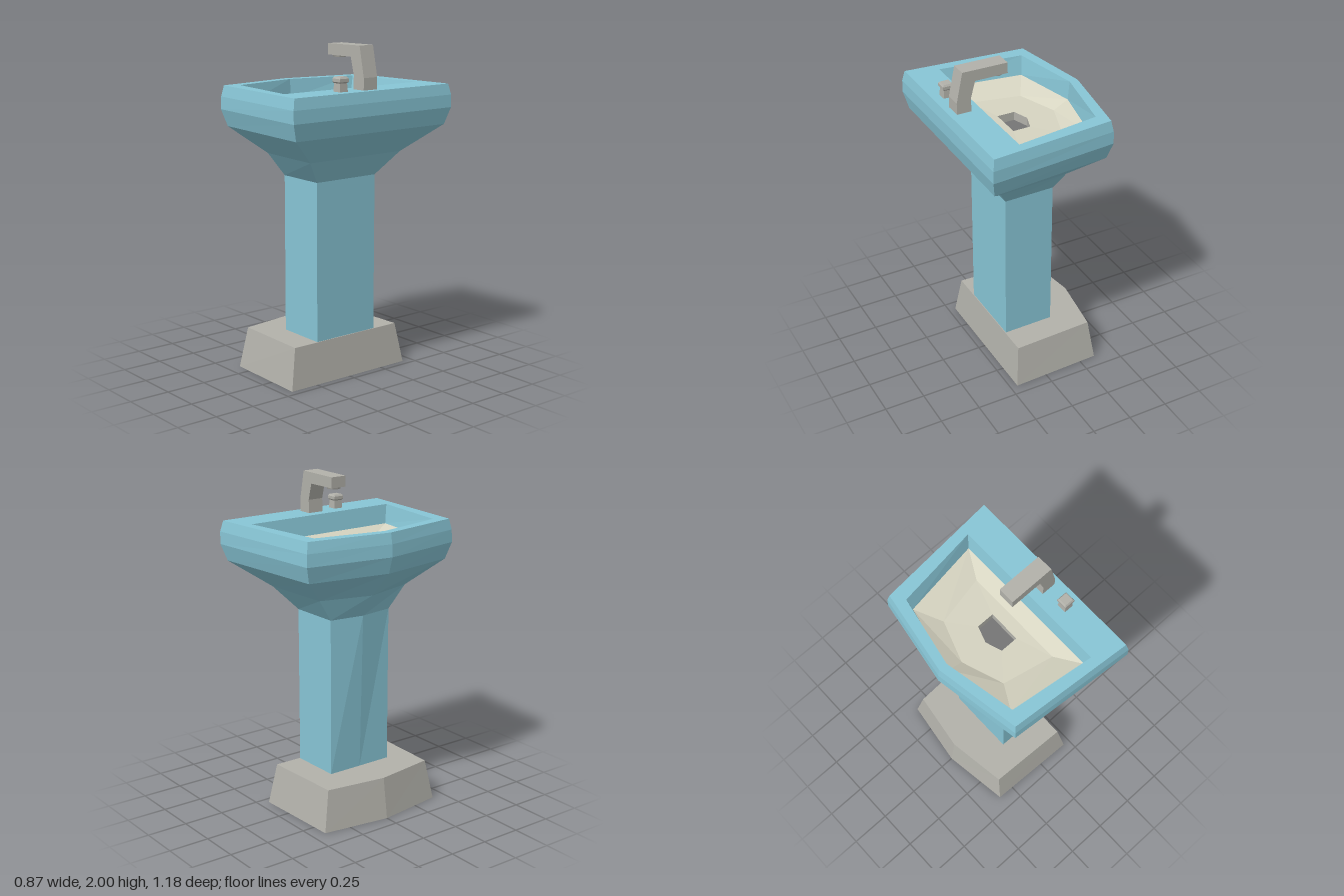
import * as THREE from 'three';

const mat = (name, color) => {
  const m = new THREE.MeshStandardMaterial({ color });
  m.name = name;
  m.flatShading = true;
  return m;
};

// Five-sided section: pointed at -x, flat at +x
const ring = (y, tip, shoulderX, shoulderZ, backX, backZ) => [
  [tip, y, 0], [shoulderX, y, shoulderZ], [backX, y, backZ],
  [backX, y, -backZ], [shoulderX, y, -shoulderZ],
];

// Skins consecutive sections with flat faces, optionally closing either end
function loft(rings, capStart = false, capEnd = false) {
  const pos = [];
  const tri = (a, b, c) => pos.push(...a, ...b, ...c);
  for (let r = 0; r < rings.length - 1; r++) {
    const lo = rings[r], hi = rings[r + 1], n = lo.length;
    for (let i = 0; i < n; i++) {
      const j = (i + 1) % n;
      tri(lo[i], lo[j], hi[j]);
      tri(lo[i], hi[j], hi[i]);
    }
  }
  const first = rings[0], last = rings[rings.length - 1];
  for (let i = 1; i < first.length - 1; i++) {
    if (capStart) tri(first[0], first[i + 1], first[i]);
    if (capEnd) tri(last[0], last[i], last[i + 1]);
  }
  const g = new THREE.BufferGeometry();
  g.setAttribute('position', new THREE.Float32BufferAttribute(pos, 3));
  g.computeVertexNormals();
  return g;
}

export function createModel() {
  const blue = mat('blue ceramic', 0x88c6d6);
  const cream = mat('cream bowl', 0xd6d4c1);
  const grey = mat('grey stone and metal', 0xb2b1aa);
  const dark = mat('dark drain', 0x757575);

  const model = new THREE.Group();
  const add = (name, geometry, material, x = 0, y = 0, z = 0) => {
    const m = new THREE.Mesh(geometry, material);
    m.name = name;
    m.position.set(x, y, z);
    model.add(m);
    return m;
  };

  // Tapered plinth
  add('base', loft([
    ring(0, -0.415, -0.355, 0.415, 0.205, 0.435),
    ring(0.25, -0.38, -0.325, 0.37, 0.175, 0.39),
  ], true, true), grey);

  // Pedestal column
  const neck = ring(1.21, -0.175, -0.145, 0.215, 0.17, 0.22);
  add('column', loft([ring(0.25, -0.146, -0.145, 0.215, 0.17, 0.22), neck]), blue);

  // Basin: flared underside, rounded rim, then the inner lip
  const lip = ring(1.635, -0.36, -0.27, 0.403, 0.21, 0.473);
  add('basin', loft([
    neck,
    ring(1.35, -0.26, -0.175, 0.315, 0.26, 0.34),
    ring(1.51, -0.41, -0.325, 0.495, 0.41, 0.555),
    ring(1.61, -0.438, -0.35, 0.525, 0.433, 0.588),
    ring(1.685, -0.435, -0.348, 0.523, 0.432, 0.588),
    ring(1.75, -0.423, -0.337, 0.51, 0.42, 0.573),
    ring(1.75, -0.37, -0.285, 0.43, 0.23, 0.497),
    lip,
  ]), blue);

  // Bowl lining
  const drainRim = ring(1.583, -0.09, -0.057, 0.098, 0.052, 0.098);
  add('bowl', loft([
    lip,
    ring(1.587, -0.267, -0.18, 0.248, 0.125, 0.313),
    drainRim,
  ]), cream);

  // Sunken drain
  const drainFloor = ring(1.53, -0.09, -0.057, 0.098, 0.052, 0.098);
  add('drainWall', loft([drainRim, drainFloor]), grey);
  add('drainFloor', loft([drainFloor], false, true), dark);

  // Bent tap, extruded across z
  const profile = new THREE.Shape([
    [0.29, 1.75], [0.38, 1.75], [0.38, 1.82], [0.342, 2.0], [0.062, 1.997],
    [0.062, 1.932], [0.265, 1.932], [0.293, 1.83],
  ].map(([x, y]) => new THREE.Vector2(x, y)));
  add('tap', new THREE.ExtrudeGeometry(profile, { depth: 0.1, bevelEnabled: false }), grey, 0, 0, -0.05);
  add('tapNozzle', new THREE.CylinderGeometry(0.045, 0.04, 0.012, 8), grey, 0.11, 1.927, 0);

  // Tap handle: square post with a bevelled cap
  const square = (y, h) => [[-h, y, h], [h, y, h], [h, y, -h], [-h, y, -h]];
  add('handle', loft([
    square(0, 0.029), square(0.048, 0.026), square(0.056, 0.033),
    square(0.074, 0.033), square(0.084, 0.026),
  ], false, true), grey, 0.335, 1.75, 0.182);

  return model;
}
